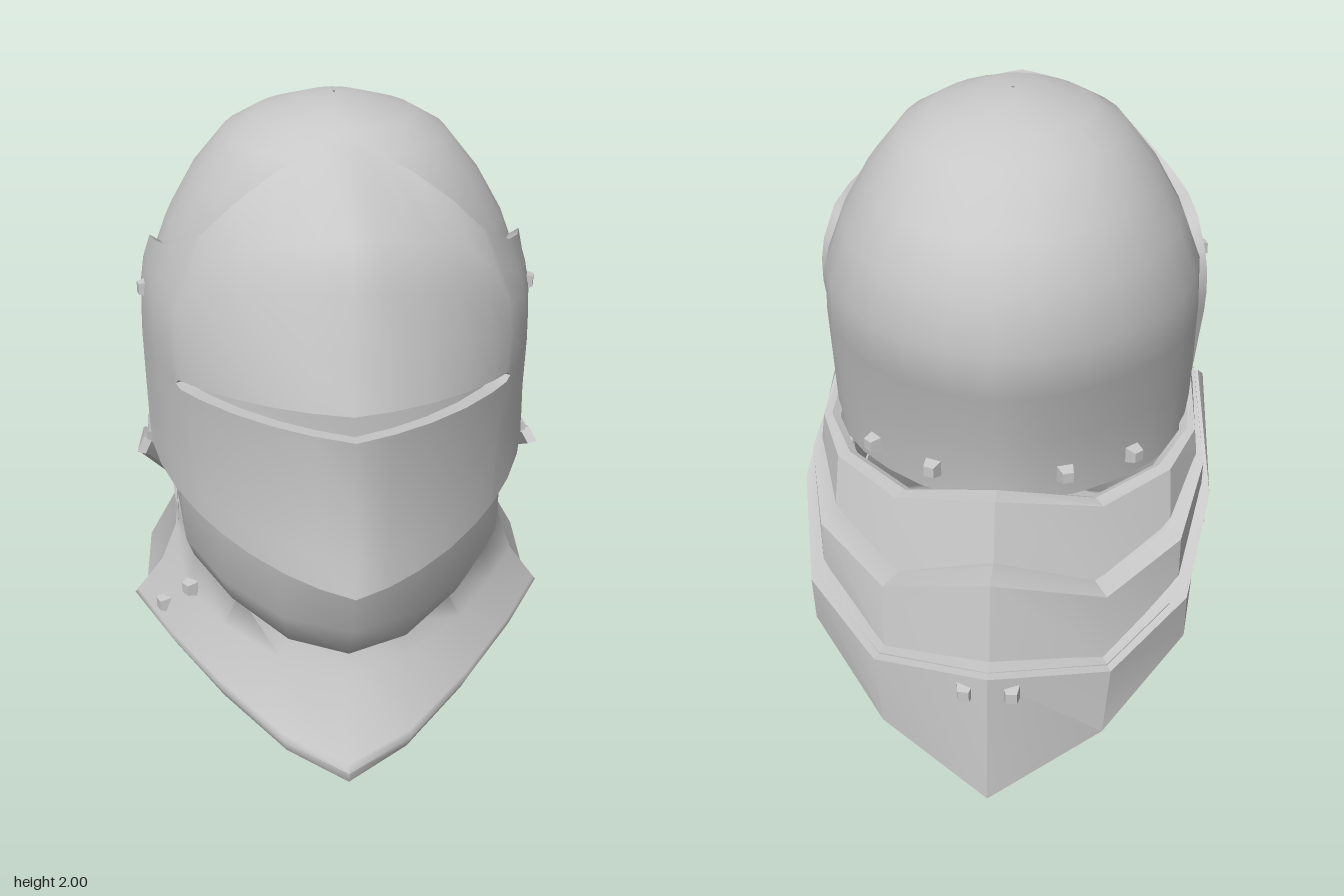
import * as THREE from 'three';
import { mergeGeometries, toCreasedNormals } from 'three/addons/utils/BufferGeometryUtils.js';

const V = (x, y, z) => new THREE.Vector3(x, y, z);
const rad = THREE.MathUtils.degToRad;

// Linear lookup in a table of [key, value, value...] rows with rising keys
function lookup(table, key, col = 1) {
  if (key <= table[0][0]) return table[0][col];
  for (let i = 1; i < table.length; i++) {
    const a = table[i - 1], b = table[i];
    if (key <= b[0]) return THREE.MathUtils.lerp(a[col], b[col], (key - a[0]) / (b[0] - a[0]));
  }
  return table[table.length - 1][col];
}

// Geometry from a list of quads
function fromQuads(quads) {
  const pos = [];
  for (const [a, b, c, d] of quads) for (const p of [a, b, c, a, c, d]) pos.push(p.x, p.y, p.z);
  const g = new THREE.BufferGeometry();
  g.setAttribute('position', new THREE.Float32BufferAttribute(pos, 3));
  return g;
}

// Plate through rows of points (top to bottom), thickened towards a centre point
function plate(rows, thickness = 0, centre = V(0, 1, 0)) {
  const quads = [], R = rows.length - 1, C = rows[0].length - 1;
  const inner = rows.map(r => r.map(p => p.clone().addScaledVector(centre.clone().sub(p).normalize(), thickness)));
  for (let r = 0; r < R; r++) for (let c = 0; c < C; c++) {
    quads.push([rows[r][c], rows[r + 1][c], rows[r + 1][c + 1], rows[r][c + 1]]);
    if (thickness) quads.push([inner[r][c], inner[r][c + 1], inner[r + 1][c + 1], inner[r + 1][c]]);
  }
  if (thickness) {
    for (let c = 0; c < C; c++) {
      quads.push([rows[0][c], rows[0][c + 1], inner[0][c + 1], inner[0][c]]);
      quads.push([rows[R][c], inner[R][c], inner[R][c + 1], rows[R][c + 1]]);
    }
    for (let r = 0; r < R; r++) {
      quads.push([rows[r][0], inner[r][0], inner[r + 1][0], rows[r + 1][0]]);
      quads.push([rows[r][C], rows[r + 1][C], inner[r + 1][C], inner[r][C]]);
    }
  }
  return fromQuads(quads);
}

// Mirror half rows: front ones run centre to side, back ones side to centre
const flip = p => V(-p.x, p.y, p.z);
const mirrorFront = half => [...half.slice(1).reverse().map(flip), ...half];
const mirrorBack = half => [...half, ...half.slice(0, -1).reverse().map(flip)];
const points = list => list.map(p => V(...p));

// Quarter outline between an ellipse (k = 0) and a pointed arch (k = 1)
const arch = (a, k) => (1 - k) * Math.cos(a) + k * (1 - Math.sin(a));

// Skull rings: height, half width, front depth, back depth, sharpness of the back
const SKULL = [
  [0.88, 0.58, 0.42, 0.59, 0.25], [1.1, 0.59, 0.42, 0.61, 0.2], [1.3, 0.595, 0.44, 0.68, 0.1],
  [1.46, 0.59, 0.46, 0.71, 0.05], [1.62, 0.53, 0.48, 0.66, 0], [1.76, 0.45, 0.48, 0.6, 0],
  [1.89, 0.345, 0.4, 0.4, 0], [1.945, 0.25, 0.3, 0.28, 0], [1.987, 0.1, 0.18, 0.13, 0], [2, 0.005, 0.005, 0.005, 0],
];
function skullGeometry() {
  const N = 28;
  const rows = [...SKULL].reverse().map(([y, w, f, b, k]) => Array.from({ length: N + 1 }, (_, i) => {
    const a = -Math.PI + 2 * Math.PI * i / N, c = Math.cos(a);
    const z = c > 0 ? f * c : -b * arch(Math.PI - Math.abs(a), k);
    return V(w * Math.sin(a), y, z);
  }));
  return plate(rows);
}

// Visor: height, half width, front depth, sharpness of the prow
const VISOR = [
  [0.8, 0.615, 0.96, 0.2], [1.06, 0.615, 0.92, 0.2], [1.27, 0.62, 0.94, 0.2], [1.31, 0.62, 0.94, 0.2],
  [1.45, 0.615, 0.9, 0.2], [1.62, 0.57, 0.845, 0.24], [1.76, 0.49, 0.8, 0.28], [1.93, 0.31, 0.41, 0.2],
];
const SLOT_END = 52;
const VISOR_COLUMNS = [0, 10, 20, 31, 42, 50, SLOT_END, 62, 73, 84];
const VISOR_TOP = [[0, 1.935], [15, 1.915], [31, 1.86], [42, 1.785], [50, 1.69], [62, 1.62], [73, 1.595], [84, 1.575]];
const VISOR_SIDE = [[0.93, 76], [1.1, 81], [1.27, 87], [1.36, 90], [1.48, 90], [1.57, 84]];
function visorPoint(deg, y, step) {
  const a = rad(deg * lookup(VISOR_SIDE, y) / 84);
  const f = lookup(VISOR, y, 2) + step * Math.max(0, 1 - deg / SLOT_END);
  return V(lookup(VISOR, y) * Math.sin(a), y, f * arch(a, lookup(VISOR, y, 3)));
}
function visorGeometry() {
  const slot = (d, centre, end) => d >= SLOT_END ? 1.248 : THREE.MathUtils.lerp(centre, end, (d / SLOT_END) ** 2);
  const panel = (top, bottom, steps, step) => plate(steps.map(v => mirrorFront(
    VISOR_COLUMNS.map(d => visorPoint(d, THREE.MathUtils.lerp(top(d), bottom(d), v), step)))), 0.05, V(0, 1.2, 0));
  const upper = panel(d => lookup(VISOR_TOP, d), d => slot(d, 1.31, 1.262), [0, 0.28, 0.5, 0.75, 1], -0.04);
  const lower = panel(d => slot(d, 1.27, 1.236), d => 0.8 + 0.13 * (d / 84) ** 1.3, [0, 0.45, 0.8, 1], 0.04);
  return mergeGeometries([upper, lower]);
}

// Chin guard with flared collar and bevelled rim, centre to side, top to bottom
const BEVOR = [
  [[0, 0.88, 0.91], [0.2, 0.89, 0.81], [0.38, 0.9, 0.61], [0.5, 0.92, 0.4], [0.55, 0.92, -0.05]],
  [[0, 0.6, 0.85], [0.2, 0.61, 0.77], [0.38, 0.64, 0.59], [0.49, 0.68, 0.4], [0.55, 0.79, 0]],
  [[0, 0.455, 0.74], [0.18, 0.47, 0.67], [0.35, 0.53, 0.52], [0.47, 0.6, 0.36], [0.53, 0.71, 0.19]],
  [[0, 0.43, 0.58], [0.16, 0.44, 0.55], [0.33, 0.5, 0.45], [0.46, 0.57, 0.32], [0.53, 0.64, 0.22]],
  [[0, 0.3, 0.62], [0.2, 0.32, 0.55], [0.38, 0.38, 0.43], [0.5, 0.45, 0.31], [0.58, 0.5, 0.2]],
  [[0, 0.07, 0.77], [0.2, 0.12, 0.672], [0.4, 0.22, 0.507], [0.555, 0.3, 0.333], [0.67, 0.365, 0.164]],
  [[0, 0.045, 0.785], [0.2, 0.1, 0.685], [0.4, 0.2, 0.515], [0.56, 0.285, 0.335], [0.68, 0.35, 0.16]],
  [[0, 0, 0.765], [0.19, 0.055, 0.665], [0.385, 0.15, 0.49], [0.54, 0.24, 0.315], [0.655, 0.315, 0.15]],
].map(points);

// Flared neck sleeve with bevelled rim behind the collar, side to back centre
const NECK = [
  [[0.52, 0.88, 0.24], [0.53, 0.86, -0.1], [0.46, 0.8, -0.38], [0.25, 0.78, -0.5], [0, 0.78, -0.55]],
  [[0.52, 0.6, 0.23], [0.54, 0.6, -0.1], [0.48, 0.57, -0.37], [0.28, 0.54, -0.5], [0, 0.5, -0.56]],
  [[0.64, 0.37, 0.18], [0.635, 0.43, -0.1], [0.57, 0.43, -0.35], [0.35, 0.4, -0.53], [0, 0.39, -0.59]],
  [[0.6, 0.34, 0.17], [0.59, 0.39, -0.08], [0.53, 0.385, -0.35], [0.32, 0.365, -0.51], [0, 0.36, -0.56]],
].map(points);

// Three overlapping neck lames: top and bottom edge, side pivot to back centre
const LAMES = [
  [[[0.59, 0.98, 0.2], [0.6, 0.95, -0.2], [0.52, 0.92, -0.4], [0.32, 0.88, -0.56], [0, 0.96, -0.68]],
    [[0.6, 0.94, 0.2], [0.61, 0.85, -0.22], [0.53, 0.74, -0.45], [0.33, 0.64, -0.63], [0, 0.7, -0.75]]],
  [[[0.605, 0.96, 0.2], [0.63, 0.86, -0.26], [0.56, 0.75, -0.53], [0.34, 0.66, -0.72], [0, 0.78, -0.85]],
    [[0.61, 0.93, 0.2], [0.63, 0.77, -0.24], [0.56, 0.6, -0.53], [0.34, 0.45, -0.76], [0, 0.48, -0.9]]],
  [[[0.62, 0.945, 0.2], [0.655, 0.76, -0.28], [0.585, 0.59, -0.61], [0.36, 0.46, -0.82], [0, 0.53, -0.97]],
    [[0.64, 0.91, 0.24], [0.655, 0.76, -0.07], [0.585, 0.42, -0.58], [0.34, 0.23, -0.83], [0, 0.09, -1]]],
];
function lameGeometry(edges) {
  const [top, bottom] = edges.map(points);
  // The upper edge turns inward as a ledge that widens to the back
  const ledge = top.map(({ x, y, z }) => {
    const s = 0.98 - 0.11 * Math.max(0, -z);
    return V(x * s, y, z * s);
  });
  return plate([ledge, top, bottom].map(mirrorBack), 0.03, V(0, 0.6, 0));
}

// Faceted underside closing the neck opening
function undersideGeometry() {
  const loop = [...mirrorFront(BEVOR[7]), ...mirrorBack(NECK[3])];
  const c = V(0, 0.44, 0.3), pos = [];
  loop.forEach((p, i) => {
    const q = loop[(i + 1) % loop.length];
    for (const v of [c, q, p]) pos.push(v.x, v.y, v.z);
  });
  const g = new THREE.BufferGeometry();
  g.setAttribute('position', new THREE.Float32BufferAttribute(pos, 3));
  g.computeVertexNormals();
  return g;
}

export function createModel() {
  const model = new THREE.Group();
  model.name = 'helmet';
  const steel = new THREE.MeshStandardMaterial({ color: 0xc8c8c8, side: THREE.DoubleSide });
  steel.name = 'steel';
  const add = (name, geometry, crease) => {
    const mesh = new THREE.Mesh(crease ? toCreasedNormals(geometry, crease) : geometry, steel);
    mesh.name = name;
    model.add(mesh);
    return mesh;
  };

  add('skull', skullGeometry(), 1);
  add('visor', visorGeometry(), 1.1);
  add('bevor', plate(BEVOR.map(mirrorFront), 0.03, V(0, 0.6, 0)), 1.2);
  add('neckSleeve', plate(NECK.map(mirrorBack)), 0.9);
  add('underside', undersideGeometry());
  LAMES.forEach((edges, i) => add('neckLame' + (i + 1), lameGeometry(edges), 0.4));

  // Square rivets facing away from the middle of the helmet
  const head = new THREE.CylinderGeometry(0.024, 0.036, 0.035, 4).rotateY(Math.PI / 4).rotateX(Math.PI / 2);
  const rivet = (name, x, y, z) => {
    const mesh = add(name, head, 0.1);
    mesh.position.set(x, y, z);
    mesh.lookAt(x * 2, y, z * 2);
  };
  for (const s of [1, -1]) {
    rivet('visorRivet', s * 0.6, 1.43, 0.15);
    rivet('skullRivet', s * 0.41, 0.97, -0.4);
    rivet('skullRivet', s * 0.205, 0.98, -0.55);
    rivet('lameRivet', s * 0.07, 0.46, -0.95);
  }
  rivet('collarRivet', -0.49, 0.46, 0.33);
  rivet('collarRivet', -0.58, 0.37, 0.27);
  return model;
}
